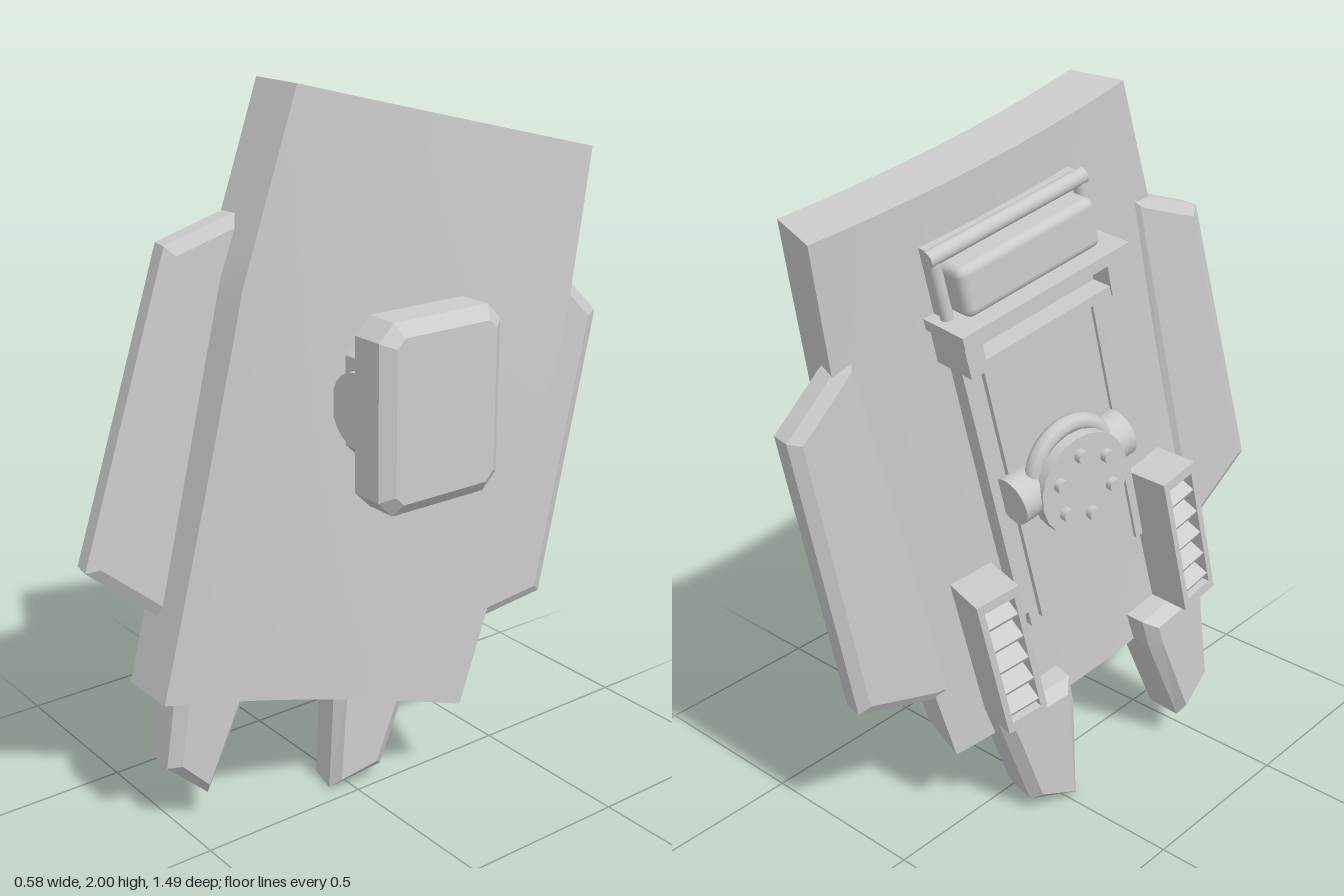
import * as THREE from 'three';
import { RoundedBoxGeometry } from 'three/addons/geometries/RoundedBoxGeometry.js';

const grey = new THREE.MeshStandardMaterial({ color: 0xcccccc });
grey.name = 'light grey';

const TILT = -0.245, TOP = 0.918, BOTTOM = -0.66, CURVE = 0.185, THICK = 0.168;

// Outer face of the shield: x as a function of width u (local z) and height v (local y)
function outerX(u, v) {
  const t = (TOP - v) / (TOP - BOTTOM);
  return -0.115 + CURVE * (0.455 - u) ** 2 - 0.056 * t + 0.04 * t * (1 - t);
}
const slope = (u) => 2 * CURVE * (0.455 - u);

// Half width: widest a third of the way down
function halfWidth(v) {
  return v > 0.43
    ? THREE.MathUtils.mapLinear(v, 0.43, TOP, 0.502, 0.458)
    : THREE.MathUtils.mapLinear(v, BOTTOM, 0.43, 0.473, 0.502);
}

function add(parent, name, geometry, x = 0, y = 0, z = 0) {
  const mesh = new THREE.Mesh(geometry, grey);
  mesh.name = name;
  mesh.position.set(x, y, z);
  parent.add(mesh);
  return mesh;
}

// Group lying on the outer face; its -x axis points outwards
function seat(parent, name, u, v) {
  const g = new THREE.Group();
  g.name = name;
  g.position.set(outerX(u, v), v, u);
  g.rotation.set(0, -Math.atan(slope(u)), -0.035);
  parent.add(g);
  return g;
}

// Box given by ranges of outward height h, v and u
function box(parent, name, [h0, h1], [v0, v1], [u0, u1]) {
  return add(parent, name, new THREE.BoxGeometry(h1 - h0, v1 - v0, u1 - u0),
    -(h0 + h1) / 2, (v0 + v1) / 2, (u0 + u1) / 2);
}

// Bevelled plate from (u, v) points, centred in thickness
function plate(points, thickness, bevel, inset = bevel) {
  const shape = new THREE.Shape(points.map(([u, v]) => new THREE.Vector2(u, v)));
  const g = new THREE.ExtrudeGeometry(shape, {
    depth: thickness - 2 * bevel, bevelEnabled: true, bevelThickness: bevel,
    bevelSize: inset, bevelOffset: -inset, bevelSegments: 1,
  });
  g.translate(0, 0, -(thickness / 2 - bevel));
  return g.rotateY(-Math.PI / 2);
}

// Rectangle with cut corners
function cutRect(w, h, c) {
  const a = w / 2, b = h / 2;
  return [[a, c - b], [a, b - c], [a - c, b], [c - a, b], [-a, b - c], [-a, c - b], [c - a, -b], [a - c, -b]];
}

function rod(parent, name, radius, from, to) {
  const path = new THREE.LineCurve3(new THREE.Vector3(...from), new THREE.Vector3(...to));
  const length = path.getLength();
  const mesh = add(parent, name, new THREE.CylinderGeometry(radius, radius, length, 20), ...path.getPoint(0.5).toArray());
  mesh.quaternion.setFromUnitVectors(new THREE.Vector3(0, 1, 0), path.getTangent(0.5));
  return mesh;
}

// Curved slab: a subdivided box bent onto the outer face
function shieldGeometry() {
  const g = new THREE.BoxGeometry(1, 1, 1, 1, 16, 16);
  const p = g.attributes.position;
  for (let i = 0; i < p.count; i++) {
    const v = THREE.MathUtils.lerp(BOTTOM, TOP, p.getY(i) + 0.5);
    const u = p.getZ(i) * 2 * halfWidth(v);
    const depth = (p.getX(i) + 0.5) * THICK;
    const s = slope(u), n = Math.hypot(1, s);
    p.setXYZ(i, outerX(u, v) + depth / n, v, u + depth * s / n);
  }
  g.computeVertexNormals();
  return g;
}

function addVent(parent, side) {
  const g = seat(parent, side > 0 ? 'frontVent' : 'rearVent', 0.3 * side, -0.345);
  const half = 0.063, top = 0.222, h = 0.128;
  box(g, 'ventBack', [-0.02, 0.06], [-top, top], [-half, half]);
  for (const s of [-1, 1]) {
    const u = s * (half - 0.009), v = s * (top - 0.015);
    box(g, 'ventWall', [0.06, h], [-top, top], [u - 0.009, u + 0.009]);
    box(g, 'ventEnd', [0.06, h], [v - 0.015, v + 0.015], [-half + 0.018, half - 0.018]);
  }
  for (let i = 0; i < 5; i++) {
    const slat = add(g, 'ventSlat', new THREE.BoxGeometry(0.08, 0.014, 0.092), -0.088, -0.15 + i * 0.075, 0);
    slat.rotation.z = 0.5;
  }
}

function addPanel(parent) {
  const g = seat(parent, 'equipmentPanel', 0, 0);
  box(g, 'basePlate', [-0.03, 0.03], [-0.36, 0.6], [-0.19, 0.2]);
  box(g, 'raisedPlate', [0.03, 0.045], [-0.34, 0.55], [-0.16, 0.17]);
  for (const s of [-1, 1]) {
    box(g, 'sideRail', [-0.03, 0.04], [-0.3, 0.56], [s * 0.205 - 0.012, s * 0.205 + 0.012]);
    box(g, 'bracketPost', [-0.02, 0.125], [0.5, 0.6], [s * 0.22 - 0.025, s * 0.22 + 0.025]);
    rod(g, 'frameSide', 0.016, [-0.04, 0.6, s * 0.22], [-0.04, 0.785, s * 0.22]);
  }

  // Cross bracket with an overhanging lid
  box(g, 'bracketLid', [-0.02, 0.145], [0.595, 0.625], [-0.255, 0.255]);
  box(g, 'bracketBar', [0.06, 0.12], [0.5, 0.525], [-0.2, 0.2]);
  box(g, 'bracketBack', [-0.02, 0.06], [0.5, 0.6], [-0.2, 0.2]);

  // Roll above the bracket and the rod frame around it
  box(g, 'rollBase', [-0.03, 0.025], [0.62, 0.8], [-0.225, 0.225]);
  add(g, 'roll', new RoundedBoxGeometry(0.1, 0.13, 0.41, 2, 0.022), -0.06, 0.695, 0);
  rod(g, 'frameTop', 0.02, [-0.04, 0.785, -0.235], [-0.04, 0.785, 0.235]);

  // Drum lying across the panel under a bolted disc
  rod(g, 'drum', 0.065, [-0.065, 0.075, -0.185], [-0.065, 0.075, 0.185]);
  rod(g, 'discHub', 0.11, [-0.03, 0.05, 0], [-0.11, 0.05, 0]);
  rod(g, 'disc', 0.14, [-0.1, 0.05, 0], [-0.135, 0.05, 0]);
  const collar = add(g, 'discCollar', new THREE.TorusGeometry(0.12, 0.024, 8, 24, Math.PI), -0.085, 0.085, 0);
  collar.rotation.y = Math.PI / 2;
  for (let i = 0; i < 6; i++) {
    const a = (i + 0.5) * Math.PI / 3;
    const v = 0.05 + 0.09 * Math.sin(a), u = 0.09 * Math.cos(a);
    rod(g, 'bolt', 0.018, [-0.13, v, u], [-0.155, v, u]);
  }
}

// Upright grip pad and its mount on the inner face
function addGrip(parent) {
  const g = new THREE.Group();
  g.name = 'grip';
  parent.add(g);
  add(g, 'gripPad', plate(cutRect(0.39, 0.5, 0.045), 0.15, 0.028, 0.035), 0.215, 1.2, -0.055);
  add(g, 'gripMount', plate(cutRect(0.33, 0.3, 0.03), 0.13, 0.015), 0.095, 1.2, -0.08);
  rod(g, 'gripPivot', 0.1, [0.145, 1.2, -0.2], [0.145, 1.2, 0.12]);
}

export function createModel() {
  const model = new THREE.Group();
  model.name = 'shield';

  const body = new THREE.Group();
  body.name = 'tiltedBody';
  body.position.y = 1;
  body.rotation.x = TILT;
  model.add(body);

  add(body, 'shieldSlab', shieldGeometry());

  // Mirrored side fins, lower prongs and vents
  const fin = [[0.42, 0.62], [0.487, 0.589], [0.643, 0.489], [0.689, -0.342], [0.476, -0.448], [0.42, -0.455]];
  const prong = [[0.37, -0.565], [0.36, -0.66], [0.335, -0.9], [0.192, -0.98], [0.135, -0.66], [0.13, -0.565]];
  for (const side of [1, -1]) {
    const label = side > 0 ? 'front' : 'rear';
    const place = (pts, u, v) => pts.map(([pu, pv]) => [side * (pu - u), pv - v]);

    // Fins flare outwards from the slab
    const finSeat = seat(body, label + 'FinSeat', 0.55 * side, 0.06);
    finSeat.rotation.y -= 0.18 * side;
    add(finSeat, label + 'Fin', plate(place(fin, 0.55, 0.06), 0.09, 0.018, 0.03), 0.015);

    add(seat(body, label + 'ProngSeat', 0.25 * side, -0.75), label + 'Prong',
      plate(place(prong, 0.25, -0.75), 0.165, 0.03));
    addVent(body, side);
  }

  addPanel(body);
  addGrip(model);
  return model;
}
